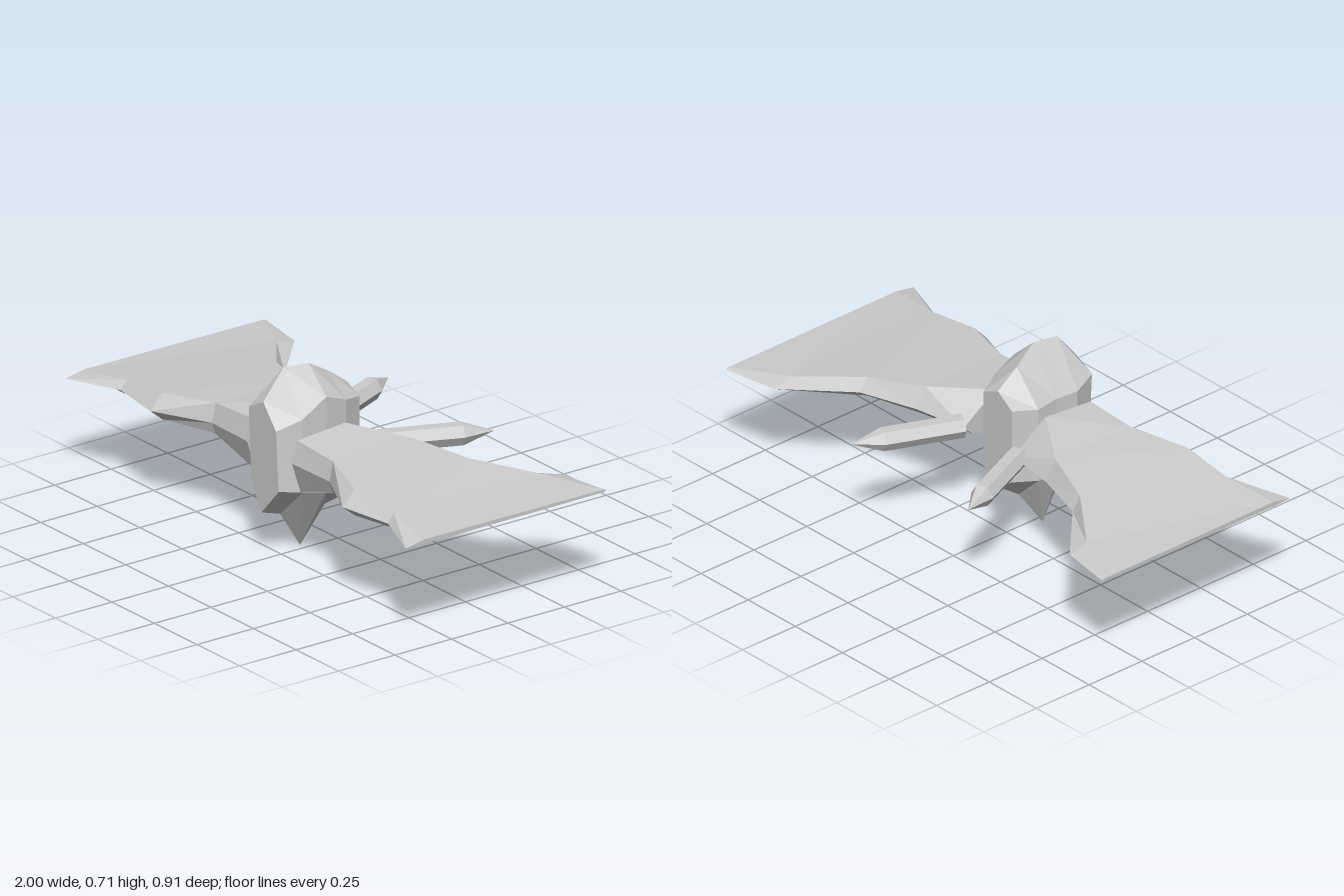
import * as THREE from 'three';

// Skins a list of closed rings (counter-clockwise seen from the first ring's outer side) with flat faces
function loft(rings, mirror = false) {
  const pos = [];
  const tri = (a, b, c) => {
    for (const p of mirror ? [a, c, b] : [a, b, c]) pos.push(mirror ? -p[0] : p[0], p[1], p[2]);
  };
  const n = rings[0].length;
  for (let i = 0; i + 1 < rings.length; i++) {
    const r = rings[i], s = rings[i + 1];
    for (let k = 0; k < n; k++) {
      const m = (k + 1) % n;
      tri(r[k], s[k], r[m]);
      tri(r[m], s[k], s[m]);
    }
  }
  const first = rings[0], last = rings[rings.length - 1];
  for (let k = 1; k + 1 < n; k++) {
    tri(first[0], first[k], first[k + 1]);
    tri(last[0], last[k + 1], last[k]);
  }
  const g = new THREE.BufferGeometry();
  g.setAttribute('position', new THREE.Float32BufferAttribute(pos, 3));
  g.computeVertexNormals();
  return g;
}

export function createModel() {
  const group = new THREE.Group();
  const grey = new THREE.MeshStandardMaterial({ color: 0xcccccc, flatShading: true });
  grey.name = 'light grey';
  const add = (name, geometry) => {
    const mesh = new THREE.Mesh(geometry, grey);
    mesh.name = name;
    group.add(mesh);
  };

  // Faceted body: [z, then x,y of top, upper right, lower right, bottom, lower left, upper left]
  const body = [
    [0.33, [0, 0.6], [-0.085, 0.555], [-0.07, 0.285], [-0.01, 0.175], [0.09, 0.285], [0.075, 0.51]],
    [0.24, [0, 0.71], [-0.11, 0.53], [-0.11, 0.26], [-0.02, 0.145], [0.115, 0.27], [0.11, 0.545]],
    [0.145, [0.02, 0.71], [-0.1, 0.53], [-0.12, 0.235], [-0.03, 0], [0.12, 0.248], [0.125, 0.615]],
    [0.05, [0, 0.655], [-0.115, 0.53], [-0.115, 0.24], [-0.01, 0.14], [0.115, 0.222], [0.115, 0.578]],
    [-0.04, [0, 0.59], [-0.075, 0.54], [-0.075, 0.25], [0, 0.2], [0.075, 0.253], [0.075, 0.557]],
  ];
  add('body', loft(body.map(([z, ...pts]) => pts.map(([x, y]) => [x, y, z]))));

  // Wing, tip to root: [x, then z,y of leading edge, lower front, lower back, trailing edge, upper back, upper front]
  const wing = [
    [1, [0.453, 0.395], [0.37, 0.392], [-0.42, 0.396], [-0.437, 0.4], [-0.425, 0.406], [0.372, 0.41]],
    [0.785, [0.37, 0.4], [0.335, 0.372], [-0.32, 0.386], [-0.4, 0.4], [-0.32, 0.42], [0.342, 0.433]],
    [0.565, [0.405, 0.4], [0.35, 0.355], [-0.155, 0.374], [-0.19, 0.4], [-0.155, 0.45], [0.35, 0.456]],
    [0.345, [0.297, 0.4], [0.283, 0.357], [-0.085, 0.367], [-0.12, 0.4], [-0.075, 0.475], [0.28, 0.472]],
    [0.132, [0.302, 0.4], [0.265, 0.283], [-0.04, 0.36], [-0.085, 0.4], [0.067, 0.5], [0.28, 0.483]],
  ].map(([x, ...pts]) => pts.map(([z, y]) => [x, y, z]));

  // Hexagonal tail rod with a pointed end
  const profile = [[0, 0], [0.043, 0], [0.043, 0.3], [0, 0.418]].map(([r, h]) => new THREE.Vector2(r, h));

  for (const side of [1, -1]) {
    const label = side > 0 ? 'left' : 'right';
    add(label + 'Wing', loft(wing, side < 0));
    const rod = new THREE.LatheGeometry(profile, 6, Math.PI / 6).toNonIndexed();
    rod.rotateX(-Math.PI / 2).rotateY(-0.405 * side).translate(0.147 * side, 0.4, -0.075);
    rod.computeVertexNormals();
    add(label + 'TailRod', rod);
  }
  return group;
}
